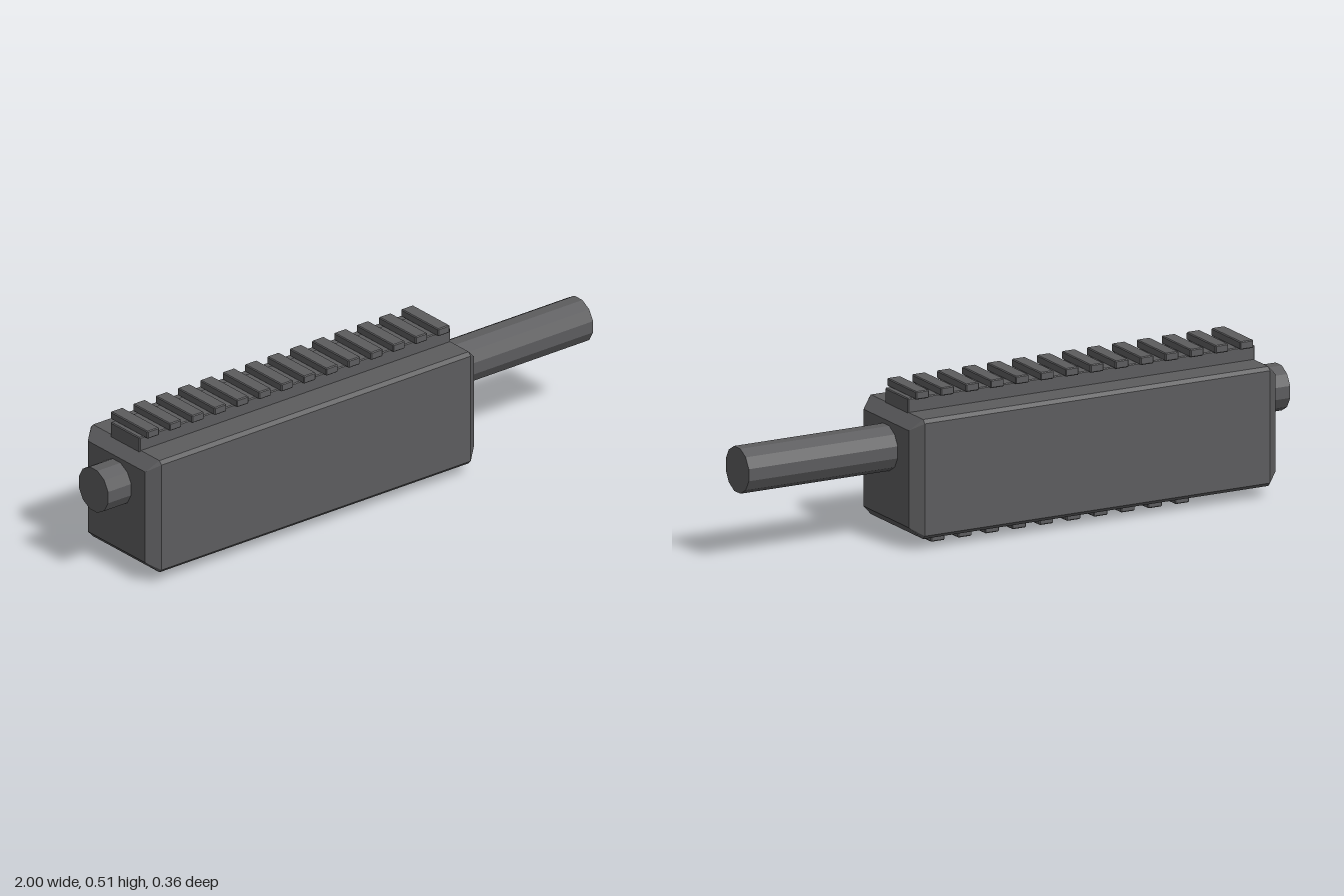
import * as THREE from 'three';
import { ConvexGeometry } from 'three/addons/geometries/ConvexGeometry.js';

const SIGNS = [-1, 1];

// Box with all edges chamfered by c, centred on the origin
function chamferBox(w, h, d, c) {
  const pts = [];
  for (const i of SIGNS) for (const j of SIGNS) for (const k of SIGNS) {
    const x = i * w / 2, y = j * h / 2, z = k * d / 2;
    pts.push(
      new THREE.Vector3(x, y - j * c, z - k * c),
      new THREE.Vector3(x - i * c, y, z - k * c),
      new THREE.Vector3(x - i * c, y - j * c, z)
    );
  }
  return new ConvexGeometry(pts);
}

// Block with wide end chamfers and slim long-edge chamfers
function housingGeometry() {
  const pts = [];
  for (const j of SIGNS) for (const k of SIGNS) {
    for (const x of [-0.905, 0.45]) pts.push(new THREE.Vector3(x, j * 0.162, k * 0.147));
    for (const x of [-0.865, 0.41]) {
      pts.push(new THREE.Vector3(x, j * 0.1995, k * 0.17));
      pts.push(new THREE.Vector3(x, j * 0.1875, k * 0.181));
    }
  }
  return new ConvexGeometry(pts);
}

export function createModel() {
  const model = new THREE.Group();
  model.name = 'railedBlock';
  const metal = new THREE.MeshStandardMaterial({ color: 0x5c5c5e });
  metal.name = 'dark grey metal';
  metal.flatShading = true;

  const add = (name, geometry, x, y, parent = model) => {
    const mesh = new THREE.Mesh(geometry, metal);
    mesh.name = name;
    mesh.position.set(x, y, 0);
    parent.add(mesh);
    return mesh;
  };

  // Main housing
  add('housing', housingGeometry(), 0, 0.238);

  // Twelve-sided rod through the housing, flat side up
  const rod = new THREE.CylinderGeometry(0.0776, 0.0776, 2, 12);
  rod.rotateY(Math.PI / 12).rotateZ(Math.PI / 2);
  add('rod', rod, 0, 0.31);

  // Slotted rail: a base strip with evenly spaced cross teeth
  const addRail = (name, x0, x1, y0, y1, first, last, count, width, toothY) => {
    const rail = new THREE.Group();
    rail.name = name;
    model.add(rail);
    add('railBase', chamferBox(x1 - x0, y1 - y0, 0.15, 0.003), (x0 + x1) / 2, (y0 + y1) / 2, rail);
    const tooth = chamferBox(width, 0.027, 0.19, 0.003);
    for (let i = 0; i < count; i++) {
      add('railTooth', tooth, first + (last - first) * i / (count - 1), toothY, rail);
    }
  };
  addRail('topRail', -0.87, 0.412, 0.42, 0.484, -0.829, 0.369, 14, 0.049, 0.4955);
  addRail('bottomRail', -0.638, 0.361, 0.026, 0.06, -0.59, 0.3125, 10, 0.052, 0.0135);

  return model;
}
